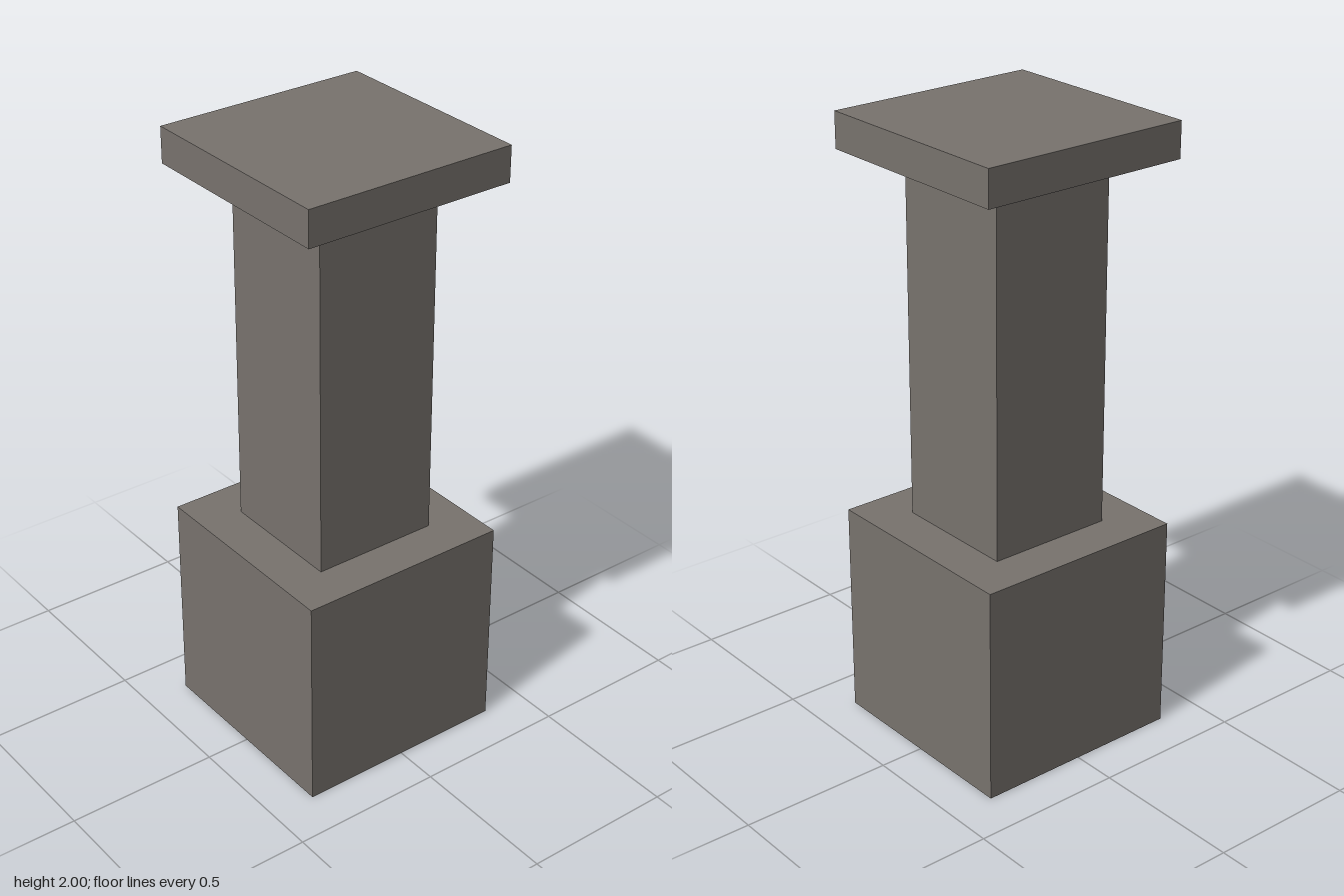
import * as THREE from 'three';

export function createModel() {
  const group = new THREE.Group();
  group.name = 'pedestalColumn';
  const stone = new THREE.MeshStandardMaterial({ color: 0x78736e });
  stone.name = 'warm grey stone';

  // Square block centred on the axis, spanning bottom to top
  const block = (name, width, bottom, top) => {
    const mesh = new THREE.Mesh(new THREE.BoxGeometry(width, top - bottom, width), stone);
    mesh.name = name;
    mesh.position.y = (bottom + top) / 2;
    group.add(mesh);
  };

  block('base', 0.707, 0, 0.71);
  block('shaft', 0.42, 0.71, 1.885);
  block('cap', 0.707, 1.885, 2);

  return group;
}
